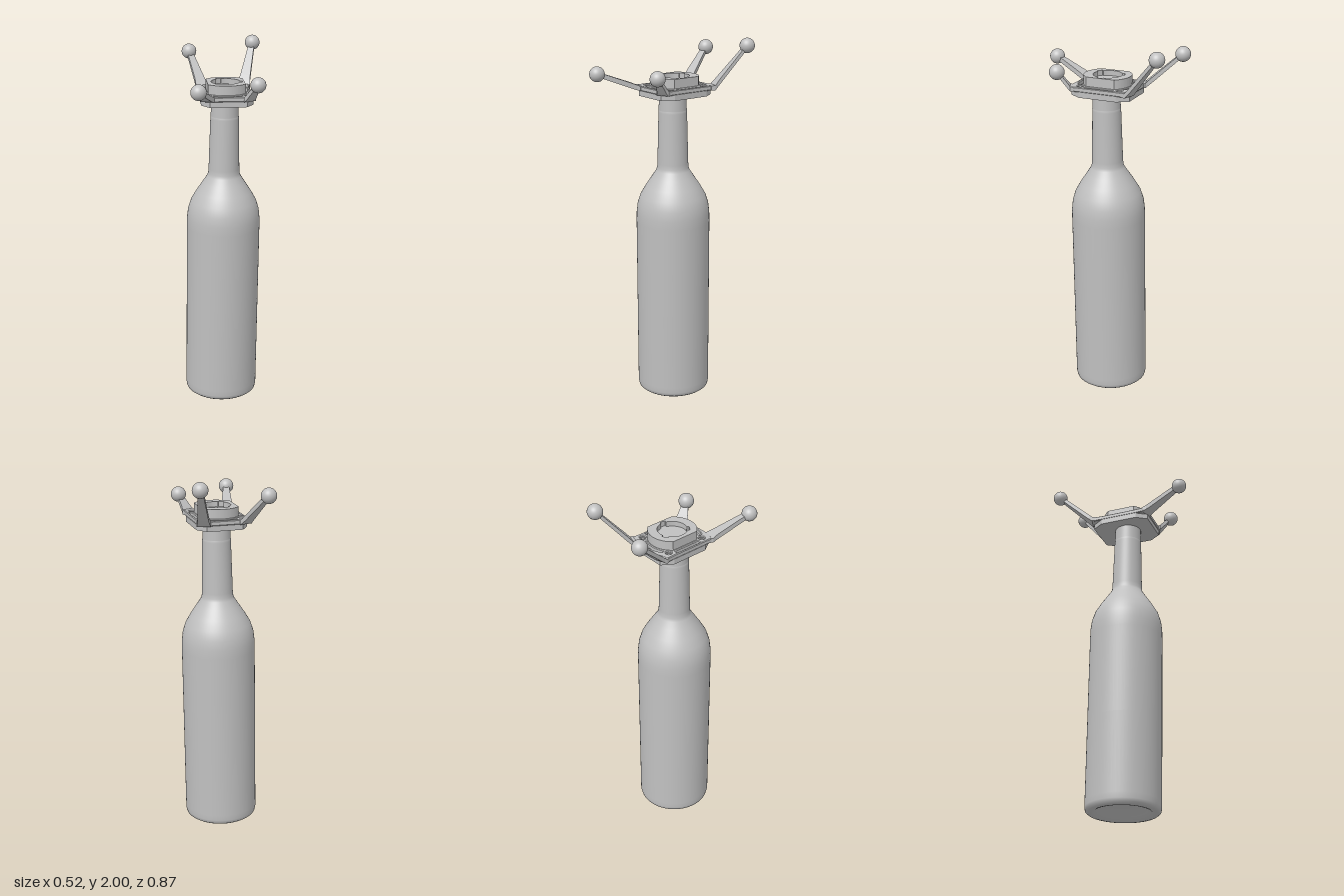
import * as THREE from 'three';

const V2 = (x, y) => new THREE.Vector2(x, y);

// Plate lying flat in x/z with its top face at y = top and chamfered edges
function plate(shape, top, thickness, chamfer = 0) {
  const g = new THREE.ExtrudeGeometry(shape, {
    depth: thickness - 2 * chamfer, curveSegments: 20, bevelEnabled: chamfer > 0,
    bevelThickness: chamfer, bevelSize: chamfer, bevelOffset: -chamfer, bevelSegments: 1,
  });
  g.rotateX(Math.PI / 2);
  g.translate(0, top - chamfer, 0);
  return g;
}

function circleHole(x, y, r) {
  const p = new THREE.Path();
  p.absarc(x, y, r, 0, Math.PI * 2, true);
  return p;
}

// Straight slot with round ends, parallel to the long side
function straightSlot(x, half, r) {
  const p = new THREE.Path();
  p.absarc(x, half, r, 0, Math.PI, false);
  p.absarc(x, -half, r, Math.PI, Math.PI * 2, false);
  p.closePath();
  return p;
}

// Curved slot following a circle of radius r, with round ends
function arcSlot(mid, r, half, spread) {
  const a = mid - spread, b = mid + spread, p = new THREE.Path();
  p.absarc(0, 0, r + half, a, b, false);
  p.absarc(r * Math.cos(b), r * Math.sin(b), half, b, b + Math.PI, false);
  p.absarc(0, 0, r - half, b, a, true);
  p.absarc(r * Math.cos(a), r * Math.sin(a), half, a + Math.PI, a + Math.PI * 2, false);
  p.closePath();
  return p;
}

// Tapered arm: a box whose cross-sections are moved onto [x, y, z, width, thickness]
function armGeometry(sections) {
  const n = sections.length - 1;
  const g = new THREE.BoxGeometry(1, 1, 1, 1, 1, n);
  const pos = g.attributes.position;
  const a = sections[0], b = sections[n];
  const dir = V2(b[0] - a[0], b[2] - a[2]).normalize();
  for (let i = 0; i < pos.count; i++) {
    const [x, y, z, w, t] = sections[Math.round((pos.getZ(i) + 0.5) * n)];
    const side = pos.getX(i) * w;
    pos.setXYZ(i, x + dir.y * side, y + pos.getY(i) * t, z - dir.x * side);
  }
  const flat = g.toNonIndexed();
  flat.computeVertexNormals();
  return flat;
}

export function createModel() {
  const model = new THREE.Group();
  const grey = new THREE.MeshStandardMaterial({ color: 0xc0c0c0 });
  grey.name = 'plain grey';
  const add = (parent, name, geometry) => {
    const m = new THREE.Mesh(geometry, grey);
    m.name = name;
    parent.add(m);
    return m;
  };

  // Bottle with a hollow base, leaning very slightly
  const profile = [
    [0, 0.08], [0.04, 0.075], [0.09, 0.05], [0.13, 0.02], [0.155, 0.004], [0.17, 0],
    [0.186, 0.003], [0.198, 0.012], [0.202, 0.03], [0.202, 0.06], [0.202, 0.5], [0.202, 1.0],
    [0.201, 1.05], [0.195, 1.1], [0.179, 1.15], [0.15, 1.2], [0.117, 1.25],
    [0.092, 1.288], [0.086, 1.305], [0.084, 1.33], [0.077, 1.61], [0.077, 1.619],
    [0.0755, 1.62], [0.0755, 1.625], [0.074, 1.69], [0.074, 1.71],
  ].map(([r, y]) => V2(r, y));
  const bottle = add(model, 'bottle', new THREE.LatheGeometry(profile, 64));
  bottle.position.set(0, 0.004, -0.023);
  bottle.rotation.set(0.01, 0, -0.014);

  // Everything on top shares one turned frame
  const mount = new THREE.Group();
  mount.name = 'mount';
  mount.position.set(0.0255, 0, -0.0175);
  mount.rotation.y = 0.231;
  model.add(mount);

  // Eight-sided base plate
  const base = new THREE.Shape([
    V2(0.138, 0.105), V2(0.098, 0.166), V2(-0.098, 0.166), V2(-0.138, 0.105),
    V2(-0.138, -0.105), V2(-0.098, -0.166), V2(0.098, -0.166), V2(0.138, -0.105),
  ]);
  add(mount, 'basePlate', plate(base, 1.736, 0.031));

  // Slotted frame with four screw holes
  const frame = new THREE.Shape([
    V2(0.138, 0.1), V2(0.141, 0.15), V2(0.08, 0.17), V2(-0.08, 0.17), V2(-0.141, 0.15), V2(-0.138, 0.1),
    V2(-0.138, -0.1), V2(-0.141, -0.15), V2(-0.08, -0.17), V2(0.08, -0.17), V2(0.141, -0.15), V2(0.138, -0.1),
  ]);
  for (const s of [-1, 1]) {
    frame.holes.push(straightSlot(s * 0.119, 0.07, 0.009));
    frame.holes.push(arcSlot(s * Math.PI / 2, 0.145, 0.01, 0.46));
    for (const t of [-1, 1]) {
      frame.holes.push(circleHole(s * 0.1025, t * 0.112, 0.016));
      // Small hollow bush in each screw hole
      const bush = new THREE.Shape();
      bush.absarc(s * 0.1025, t * 0.112, 0.0165, 0, Math.PI * 2, false);
      bush.holes.push(circleHole(s * 0.1025, t * 0.112, 0.01));
      add(mount, 'screwBush', plate(bush, 1.75, 0.015));
    }
  }
  add(mount, 'frame', plate(frame, 1.76, 0.026, 0.004));

  // Raised socket ring with two flat sides and a notched opening
  const R = 0.128, cut = Math.acos(0.1 / R);
  const ring = new THREE.Shape();
  ring.absarc(0, 0, R, cut, Math.PI - cut, false);
  ring.absarc(0, 0, R, Math.PI + cut, Math.PI * 2 - cut, false);
  ring.closePath();
  const opening = new THREE.Path();
  for (let i = 0; i < 3; i++) {
    const a = -0.1 + i * Math.PI * 2 / 3;
    opening.absarc(0, 0, 0.09, a, a + 0.4, false);
    opening.absarc(0, 0, 0.078, a + 0.4, a + Math.PI * 2 / 3, false);
  }
  opening.closePath();
  ring.holes.push(opening);
  add(mount, 'socketRing', plate(ring, 1.81, 0.055));
  add(mount, 'socketFloor', new THREE.CylinderGeometry(0.094, 0.094, 0.03, 40).translate(0, 1.767, 0));

  // Four arms, each ending in a ball: ball centre, then bend point
  const arms = [
    ['backRightArm', [-0.171, 1.915, -0.354], [-0.112, -0.17]],
    ['backLeftArm', [0.184, 1.96, -0.347], [0.116, -0.17]],
    ['frontLeftArm', [0.147, 1.832, 0.226], [0.112, 0.166]],
    ['frontRightArm', [-0.172, 1.832, 0.382], [-0.11, 0.163]],
  ];
  for (const [name, ball, [bx, bz]] of arms) {
    const arm = new THREE.Group();
    arm.name = name;
    mount.add(arm);
    const at = (f, w, t) => [
      bx + (ball[0] - bx) * f, 1.747 + (ball[1] - 1.747) * f, bz + (ball[2] - bz) * f, w, t];
    const root = [bx * 0.98, 1.747, Math.sign(bz) * 0.145, 0.06, 0.024];
    add(arm, name + 'Bar', armGeometry([
      root, at(0, 0.074, 0.025), at(0.08, 0.063, 0.028), at(0.2, 0.056, 0.029), at(0.95, 0.03, 0.026)]));
    add(arm, name + 'Ball', new THREE.SphereGeometry(0.041, 32, 20).translate(...ball));
  }
  return model;
}
